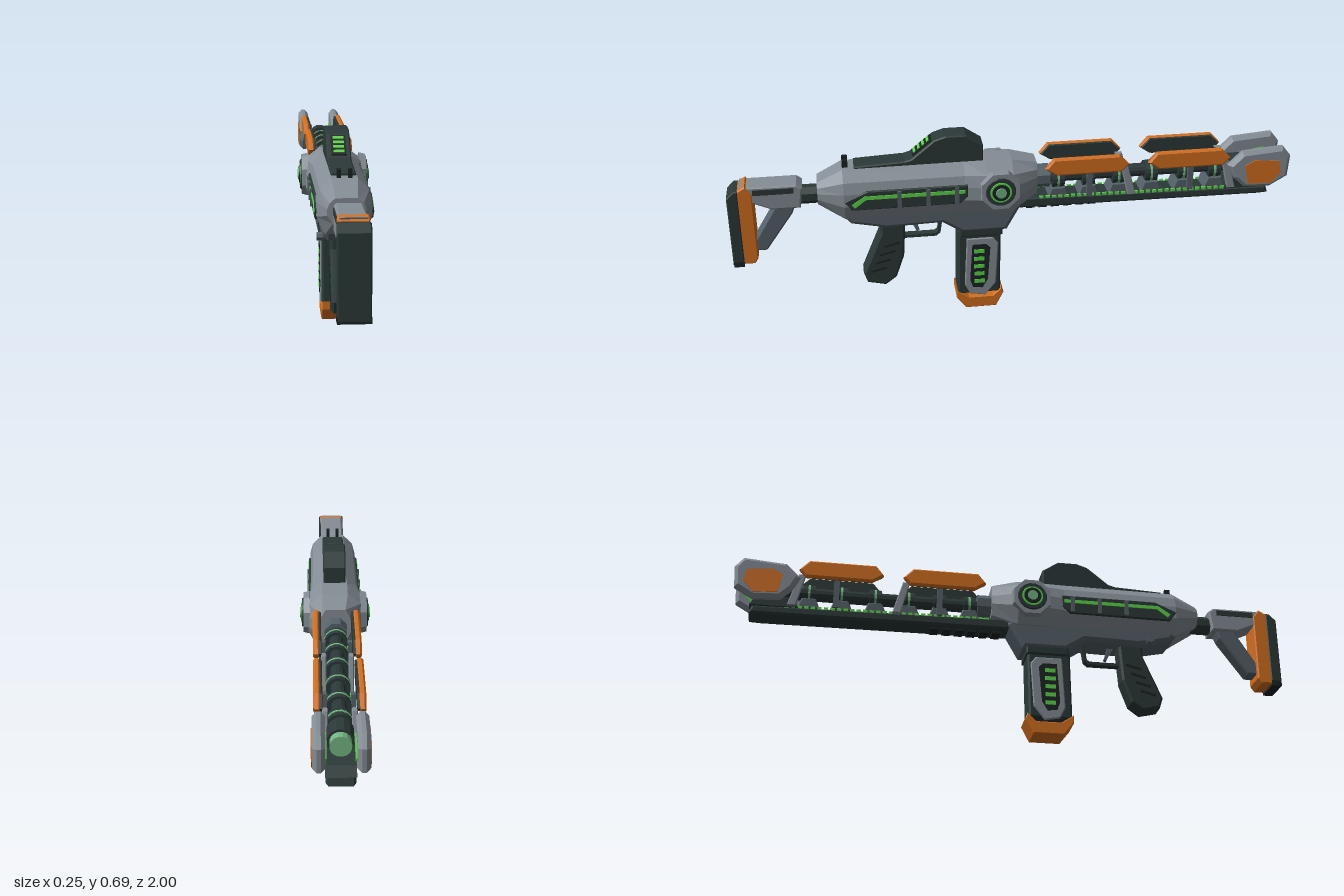
import * as THREE from 'three';

const mat = (name, color) => Object.assign(new THREE.MeshStandardMaterial({ color }), { name, flatShading: true });

export function createModel() {
  const M = {
    gray: mat('armour gray', 0x858e96), slate: mat('slate', 0x56626a), dark: mat('dark green gray', 0x2b3938),
    black: mat('near black', 0x1b2322), orange: mat('orange', 0xd5701f), green: mat('glow green', 0x5ed64b),
    lens: mat('lens green', 0x74b584),
  };
  const root = new THREE.Group();
  root.name = 'rifle';
  const add = (name, geo, m, parent = root) => {
    const mesh = new THREE.Mesh(geo, m);
    mesh.name = name;
    parent.add(mesh);
    return mesh;
  };
  // side outline of [z, y] points, extruded from x0 to x1 with a chamfer b
  const plate = (name, pts, x0, x1, m, b = 0) => {
    const shape = new THREE.Shape(pts.map(([z, y]) => new THREE.Vector2(z, y)));
    const geo = new THREE.ExtrudeGeometry(shape, {
      depth: x1 - x0 - 2 * b, bevelEnabled: b > 0, bevelSize: b, bevelThickness: b, bevelOffset: -b, bevelSegments: 1,
    });
    geo.rotateY(-Math.PI / 2).translate(x1 - b, 0, 0);
    return add(name, geo, m);
  };
  const centred = (name, pts, w, m, b) => plate(name, pts, -w, w, m, b);
  const sided = (name, pts, x0, x1, m, b) => {
    plate(name + 'Left', pts, x0, x1, m, b);
    plate(name + 'Right', pts, -x1, -x0, m, b);
  };
  const box = (name, w, h, d, x, y, z, m) => add(name, new THREE.BoxGeometry(w, h, d).translate(x, y, z), m);
  const barZ = (name, r, z0, z1, y, m, n = 8) => add(name,
    new THREE.CylinderGeometry(r, r, z1 - z0, n).rotateY(Math.PI / n).rotateX(Math.PI / 2).translate(0, y, (z0 + z1) / 2), m);
  const rect = (z0, z1, y0, y1) => [[z0, y0], [z1, y0], [z1, y1], [z0, y1]];

  // Receiver: faceted sections [z, halfWidth, topHalfWidth, top, bottom]
  const sections = [
    [0.69, 0.06, 0.035, 0.545, 0.465], [0.6, 0.088, 0.042, 0.59, 0.41], [0.18, 0.09, 0.042, 0.592, 0.405],
    [0.1, 0.105, 0.045, 0.592, 0.405], [0.01, 0.105, 0.045, 0.59, 0.405], [-0.08, 0.055, 0.035, 0.57, 0.45],
  ];
  const ring = ([z, w, t, top, bot]) => {
    const h = top - bot;
    const half = [[t, top], [w * 0.88, top - h * 0.2], [w, top - h * 0.42], [w, top - h * 0.68], [w * 0.7, bot]];
    return [...half, ...half.map(([x, y]) => [-x, y]).reverse()].map(([x, y]) => [x, y, z]);
  };
  const rings = sections.map(ring), pos = [], n = rings[0].length;
  for (let i = 0; i < rings.length - 1; i++) for (let j = 0; j < n; j++) {
    const k = (j + 1) % n, a = rings[i][j], b = rings[i][k], c = rings[i + 1][k], d = rings[i + 1][j];
    pos.push(...a, ...b, ...c, ...a, ...c, ...d);
  }
  for (let j = 1; j < n - 1; j++) {
    const f = rings[0], e = rings[rings.length - 1];
    pos.push(...f[0], ...f[j + 1], ...f[j], ...e[0], ...e[j], ...e[j + 1]);
  }
  const bodyGeo = new THREE.BufferGeometry();
  bodyGeo.setAttribute('position', new THREE.Float32BufferAttribute(pos, 3));
  bodyGeo.computeVertexNormals();
  add('receiver', bodyGeo, M.gray);
  centred('lowerReceiver', [[0.62, 0.43], [0.58, 0.385], [0.46, 0.36], [0.26, 0.365], [0.19, 0.32], [0.03, 0.32],
    [-0.02, 0.41], [-0.02, 0.45], [0.6, 0.45]], 0.065, M.slate, 0.015);
  centred('magazineWell', rect(0.045, 0.2, 0.3, 0.34), 0.058, M.dark, 0.005);

  // Recessed side panels with a bent light line and dividers
  sided('sidePanel', [[0.6, 0.49], [0.575, 0.455], [0.2, 0.455], [0.17, 0.48], [0.17, 0.525], [0.52, 0.525]], 0.08, 0.093, M.dark, 0.003);
  sided('sideLight', [[0.565, 0.465], [0.525, 0.495], [0.18, 0.495], [0.18, 0.508], [0.53, 0.508], [0.575, 0.478]], 0.093, 0.096, M.green);
  for (const z of [0.21, 0.31, 0.41]) sided('panelDivider', rect(z - 0.007, z + 0.007, 0.46, 0.52), 0.09, 0.099, M.slate);

  // Round side emblems: octagonal plate, rings and lens
  for (const s of [1, -1]) {
    const hub = new THREE.Group();
    hub.name = s > 0 ? 'hubLeft' : 'hubRight';
    hub.position.set(0, 0.5, 0.058);
    root.add(hub);
    const disc = (name, r, x0, x1, m, sides) => add(name,
      new THREE.CylinderGeometry(r * 0.93, r, x1 - x0, sides).rotateY(Math.PI / sides).rotateZ(-s * Math.PI / 2)
        .translate(s * (x0 + x1) / 2, 0, 0), m, hub);
    disc('hubPlate', 0.077, 0.09, 0.113, M.gray, 8);
    disc('hubDarkRing', 0.055, 0.11, 0.118, M.dark, 16);
    disc('hubGreenRing', 0.04, 0.115, 0.12, M.green, 20);
    disc('hubInnerRing', 0.033, 0.115, 0.122, M.black, 20);
    disc('hubLens', 0.02, 0.115, 0.126, M.lens, 16);
  }

  // Scope hump with display bars, and rear sight posts
  centred('scope', [[0.56, 0.58], [0.56, 0.597], [0.385, 0.605], [0.36, 0.612], [0.28, 0.677], [0.24, 0.69], [0.17, 0.69],
    [0.11, 0.65], [0.11, 0.58]], 0.04, M.dark, 0.004);
  const display = new THREE.Group();
  display.name = 'scopeDisplay';
  display.position.set(0, 0.6455, 0.321);
  display.rotation.x = Math.atan2(0.065, 0.08);
  root.add(display);
  add('displayFrame', new THREE.BoxGeometry(0.05, 0.008, 0.085), M.black, display);
  for (let i = 0; i < 4; i++) add('displayBar', new THREE.BoxGeometry(0.036, 0.006, 0.01).translate(0, 0.004, -0.03 + i * 0.02), M.green, display);
  for (const x of [-0.018, 0.018]) box('sightPost', 0.012, 0.035, 0.02, x, 0.6, 0.59, M.black);

  // Stock
  barZ('stockTube', 0.034, 0.67, 0.8, 0.488, M.dark);
  centred('stockHead', [[0.955, 0.545], [0.76, 0.545], [0.74, 0.53], [0.75, 0.455], [0.85, 0.455], [0.93, 0.49]], 0.044, M.gray, 0.006);
  sided('stockInlay', [[0.91, 0.515], [0.77, 0.515], [0.77, 0.535], [0.91, 0.535]], 0.04, 0.047, M.dark);
  centred('stockStrut', [[0.84, 0.46], [0.77, 0.46], [0.78, 0.43], [0.88, 0.29], [0.93, 0.29], [0.92, 0.33]], 0.03, M.slate, 0.006);
  centred('stockFrame', [[0.97, 0.25], [0.925, 0.25], [0.912, 0.27], [0.912, 0.52], [0.935, 0.55], [0.97, 0.53]], 0.047, M.orange, 0.004);
  centred('buttPad', [[1, 0.25], [0.96, 0.255], [0.96, 0.535], [0.975, 0.535], [1, 0.51]], 0.05, M.dark, 0.004);
  box('buttPadFoot', 0.101, 0.02, 0.036, 0, 0.252, 0.98, M.black);

  // Rear grip with ribs, trigger and guard
  centred('grip', [[0.48, 0.37], [0.39, 0.37], [0.4, 0.23], [0.43, 0.145], [0.47, 0.115], [0.535, 0.13], [0.548, 0.17], [0.48, 0.33]],
    0.037, M.dark, 0.008);
  for (let i = 0; i < 4; i++) {
    const y = 0.18 + i * 0.033, z = 0.5 - i * 0.017;
    sided('gripRib', [[z + 0.02, y - 0.008], [z - 0.035, y + 0.006], [z - 0.035, y + 0.014], [z + 0.02, y]], 0.034, 0.04, M.black);
  }
  centred('triggerGuard', [[0.42, 0.37], [0.41, 0.305], [0.395, 0.292], [0.28, 0.292], [0.265, 0.305], [0.255, 0.37], [0.267, 0.37],
    [0.275, 0.31], [0.285, 0.303], [0.39, 0.303], [0.4, 0.31], [0.408, 0.37]], 0.014, M.dark);
  centred('trigger', [[0.38, 0.37], [0.36, 0.335], [0.35, 0.315], [0.34, 0.318], [0.35, 0.345], [0.355, 0.37]], 0.008, M.slate);
  add('selectorKnob', new THREE.CylinderGeometry(0.014, 0.014, 0.03, 8).rotateZ(Math.PI / 2).translate(-0.068, 0.38, 0.5), M.slate);

  // Magazine with side frame, lights and base
  centred('magazine', [[0.205, 0.32], [0.05, 0.32], [0.055, 0.06], [0.21, 0.06]], 0.049, M.dark, 0.006);
  centred('magazineBase', [[0.215, 0.075], [0.215, 0.045], [0.18, 0], [0.07, 0], [0.042, 0.055], [0.05, 0.075], [0.08, 0.045], [0.17, 0.045]],
    0.05, M.orange, 0.003);
  sided('magazineFrame', [[0.175, 0.29], [0.08, 0.29], [0.06, 0.265], [0.07, 0.1], [0.11, 0.05], [0.165, 0.06], [0.185, 0.1]],
    0.042, 0.053, M.gray, 0.004);
  sided('magazineInset', [[0.155, 0.265], [0.105, 0.265], [0.09, 0.25], [0.1, 0.12], [0.12, 0.085], [0.155, 0.09], [0.165, 0.12]],
    0.05, 0.055, M.black);
  for (let i = 0; i < 5; i++) sided('magazineLight', rect(0.112, 0.15, 0.107 + i * 0.031, 0.122 + i * 0.031), 0.053, 0.057, M.green);

  // Lower rail with light line and underside ribs
  centred('lowerRail', [[0, 0.435], [-0.93, 0.42], [-0.94, 0.39], [-0.9, 0.388], [-0.02, 0.395]], 0.045, M.dark, 0.008);
  for (let i = 0; i < 32; i++) {
    const z = -0.09 - i * 0.023, y = 0.434 + z * 0.012;
    sided('railLight', rect(z - 0.015, z, y - 0.006, y + 0.004), 0.036, 0.043, M.green);
  }
  for (let i = 0; i < 6; i++) box('railRib', 0.05, 0.012, 0.03, 0, 0.39, -0.06 - i * 0.045, M.black);

  // Barrel core, coils and cradles
  barZ('barrel', 0.024, -0.82, -0.05, 0.497, M.dark, 12);
  barZ('barrelCollar', 0.042, -0.13, -0.06, 0.5, M.slate);
  for (const z of [-0.16, -0.27, -0.38, -0.5, -0.62, -0.735]) {
    barZ('coil', 0.04, z - 0.022, z + 0.022, 0.49, M.dark, 16);
    barZ('coilGlow', 0.042, z - 0.004, z + 0.004, 0.49, M.lens, 16);
    centred('coilCradle', [[z + 0.04, 0.425], [z + 0.025, 0.465], [z - 0.025, 0.465], [z - 0.04, 0.425]], 0.038, M.slate, 0.004);
  }

  // Orange heat shields with dark liners, carried on slanted struts
  for (const z of [-0.105, -0.475]) {
    const outline = (g) => [[z - g, 0.557], [z - 0.03 - g, 0.594 - g], [z - 0.265 + g, 0.594 - g], [z - 0.3 + g, 0.557],
      [z - 0.275 + g, 0.53 + g], [z - 0.04 - g, 0.53 + g]];
    sided('heatShield', outline(0), 0.058, 0.08, M.orange, 0.006);
    sided('shieldLiner', outline(0.004), 0.052, 0.063, M.dark, 0.002);
    sided('shieldStrut', [[z - 0.275, 0.55], [z - 0.3, 0.55], [z - 0.335, 0.425], [z - 0.305, 0.425]], 0.036, 0.054, M.gray, 0.003);
    sided('shieldPost', rect(z - 0.175, z - 0.155, 0.43, 0.54), 0.038, 0.052, M.slate);
  }

  // Muzzle prongs, inlays and emitter
  sided('muzzleProng', [[-0.77, 0.525], [-0.82, 0.575], [-0.97, 0.587], [-1, 0.55], [-0.995, 0.47], [-0.93, 0.432], [-0.835, 0.437],
    [-0.795, 0.475]], 0.046, 0.085, M.gray, 0.013);
  sided('prongInlay', [[-0.83, 0.525], [-0.865, 0.545], [-0.955, 0.537], [-0.965, 0.49], [-0.93, 0.45], [-0.845, 0.455]], 0.08, 0.088, M.orange);
  sided('prongGlow', [[-0.85, 0.52], [-0.94, 0.535], [-0.965, 0.5], [-0.93, 0.46], [-0.87, 0.465]], 0.043, 0.05, M.green);
  barZ('emitterCollar', 0.042, -0.86, -0.79, 0.495, M.dark, 12);
  barZ('emitterLens', 0.034, -0.89, -0.85, 0.495, M.lens, 16);
  centred('muzzleBridge', [[-0.77, 0.42], [-0.94, 0.42], [-0.92, 0.45], [-0.79, 0.46]], 0.047, M.dark);

  return root;
}
